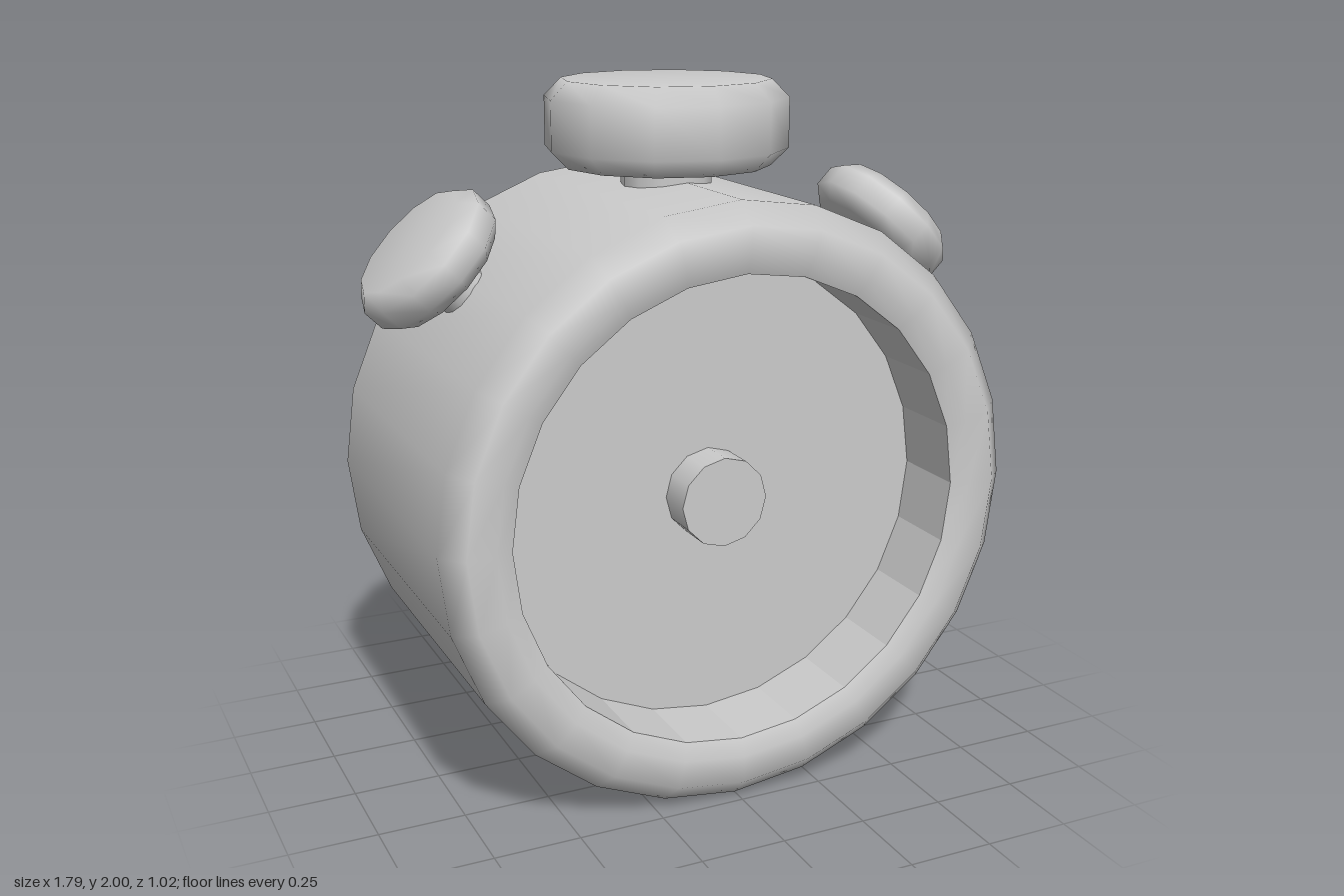
import * as THREE from 'three';

const grey = new THREE.MeshStandardMaterial({ color: 0xcccccc });
const greyFlat = new THREE.MeshStandardMaterial({ color: 0xcccccc, flatShading: true });

// Revolve [radius, height] pairs around the y axis
function lathe(name, profile, sides, material = grey) {
  const points = profile.map(([r, y]) => new THREE.Vector2(r, y));
  const mesh = new THREE.Mesh(new THREE.LatheGeometry(points, sides), material);
  mesh.name = name;
  return mesh;
}

// Push button: bevelled 12-sided cap (centred on the origin) on a short stem
function button(name, radius, height, bevel, stemRadius, stemLength) {
  const group = new THREE.Group();
  group.name = name;
  const h = height / 2;
  group.add(lathe(name + 'Cap', [
    [0, -h], [radius - bevel, -h], [radius, -h + bevel],
    [radius, h - bevel], [radius - bevel, h], [0, h],
  ], 12));
  const stem = new THREE.Mesh(
    new THREE.CylinderGeometry(stemRadius, stemRadius, stemLength, 12), grey);
  stem.name = name + 'Stem';
  stem.position.y = -h - stemLength / 2 + 0.01;
  group.add(stem);
  return group;
}

export function createModel() {
  const model = new THREE.Group();
  model.name = 'stopwatch';

  // Round case lying along z, with rounded rim and recessed dial
  const body = new THREE.Group();
  body.name = 'body';
  body.position.y = 0.862;
  body.rotation.x = Math.PI / 2;
  body.add(lathe('case', [
    [0, -0.51], [0.8, -0.51], [0.86, -0.45], [0.86, 0.45],
    [0.8, 0.51], [0.72, 0.51], [0.67, 0.49],
  ], 24));
  body.add(lathe('dialRecess', [[0.67, 0.49], [0.67, 0.26], [0, 0.26]], 24, greyFlat));

  // Hub in the middle of the dial
  const hub = new THREE.Mesh(new THREE.CylinderGeometry(0.13, 0.13, 0.13, 12), grey);
  hub.name = 'dialHub';
  hub.position.y = 0.305;
  body.add(hub);
  model.add(body);

  // Large crown on top
  const crown = button('crown', 0.347, 0.24, 0.05, 0.13, 0.2);
  crown.position.set(-0.005, 1.88, -0.01);
  model.add(crown);

  // Two small side buttons, tilted outwards
  for (const side of [-1, 1]) {
    const small = button(side > 0 ? 'leftButton' : 'rightButton', 0.222, 0.145, 0.04, 0.075, 0.16);
    small.position.set(side * 0.715, 1.543, -0.01);
    small.rotation.z = -side * Math.PI / 4;
    model.add(small);
  }
  return model;
}
